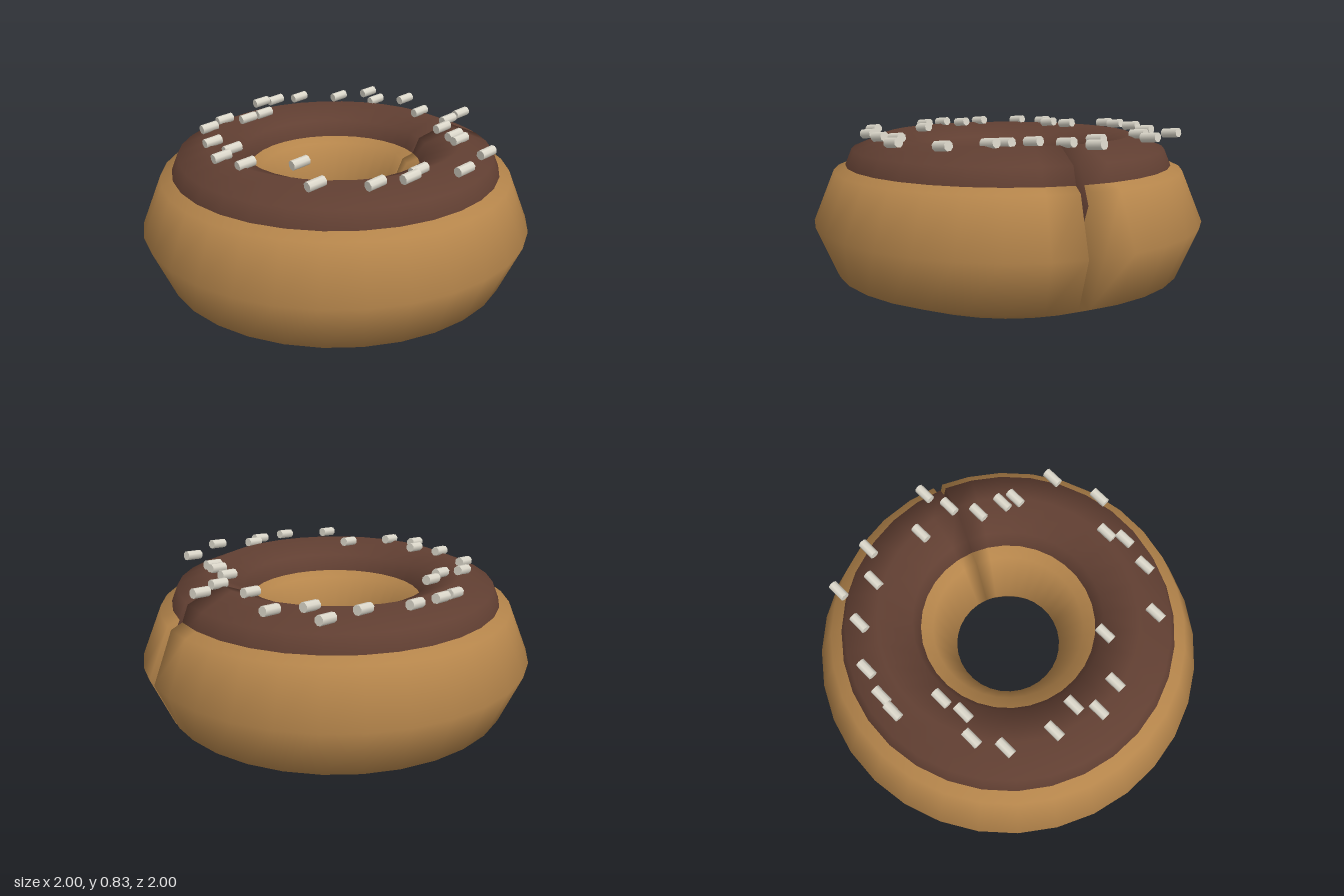
import * as THREE from 'three';

const RING = 0.637, SEGMENTS = 32, SIDES = 8;

const doughMaterial = new THREE.MeshStandardMaterial({ name: 'golden dough', color: 0xb5854b });
const icingMaterial = new THREE.MeshStandardMaterial({ name: 'chocolate icing', color: 0x613f32 });
const sprinkleMaterial = new THREE.MeshStandardMaterial({ name: 'cream sprinkles', color: 0xdcd8cb });

// Ring split at +x: its two capped ends touch on the inner half and part in a thin wedge outside
function splitRing(tube, slope) {
  const pos = [], idx = [];
  for (let i = 0; i <= SEGMENTS; i++) {
    const t = (i / SEGMENTS) * Math.PI * 2;
    const side = i === 0 ? 1 : i === SEGMENTS ? -1 : 0;
    for (let j = 0; j < SIDES; j++) {
      const p = (j / SIDES) * Math.PI * 2;
      const r = RING + tube * Math.cos(p);
      const open = side * slope * Math.max(0, r - RING);
      pos.push(r * Math.cos(t), tube * Math.sin(p), r * Math.sin(t) + open);
    }
  }
  const at = (i, j) => i * SIDES + (j % SIDES);
  for (let i = 0; i < SEGMENTS; i++) {
    for (let j = 0; j < SIDES; j++) {
      const a = at(i, j), b = at(i, j + 1), c = at(i + 1, j), d = at(i + 1, j + 1);
      idx.push(a, b, c, b, d, c);
    }
  }
  // End caps share the rim vertices, so the shading rolls into the split
  const first = pos.length / 3;
  pos.push(RING, 0, 0, RING, 0, 0);
  for (let j = 0; j < SIDES; j++) {
    idx.push(first, at(0, j + 1), at(0, j));
    idx.push(first + 1, at(SEGMENTS, j), at(SEGMENTS, j + 1));
  }
  const geometry = new THREE.BufferGeometry();
  geometry.setAttribute('position', new THREE.Float32BufferAttribute(pos, 3));
  geometry.setIndex(idx);
  geometry.computeVertexNormals();
  return geometry;
}

// Sprinkle centres on the icing: x, z
const SPRINKLES = [
  [-0.22, -0.69], [-0.13, -0.71], [0.02, -0.725], [0.25, -0.67], [0.45, -0.7],
  [0.43, -0.525], [0.6, -0.485], [0.57, -0.215], [0.77, -0.11], [0.65, -0.025],
  [0.555, 0.095], [0.555, 0.23], [0.55, 0.3], [0.575, 0.525], [0.37, 0.69],
  [0.175, 0.63], [0.105, 0.695], [-0.065, 0.715], [-0.31, 0.64], [-0.3, 0.37],
  [-0.535, 0.3], [-0.62, 0.17], [-0.55, 0.075], [-0.62, -0.06], [-0.595, -0.295],
  [-0.49, -0.415], [-0.365, -0.4], [-0.26, -0.465],
];

export function createModel() {
  const model = new THREE.Group();
  model.name = 'doughnut';

  const dough = new THREE.Mesh(splitRing(0.363, 0.1), doughMaterial);
  dough.name = 'dough';
  dough.position.y = 0.365;
  model.add(dough);

  const icing = new THREE.Mesh(splitRing(0.234, 0.095), icingMaterial);
  icing.name = 'icing';
  icing.position.y = 0.561;
  model.add(icing);

  // Small rods all lying the same way
  const rod = new THREE.CylinderGeometry(0.024, 0.024, 0.09, 8);
  const axis = new THREE.Vector3(0.93, 0.1, -0.34).normalize();
  const turn = new THREE.Quaternion().setFromUnitVectors(new THREE.Vector3(0, 1, 0), axis);
  const sprinkles = new THREE.Group();
  sprinkles.name = 'sprinkles';
  for (const [x, z] of SPRINKLES) {
    const sprinkle = new THREE.Mesh(rod, sprinkleMaterial);
    sprinkle.name = 'sprinkle';
    sprinkle.position.set(x, 0.807, z);
    sprinkle.quaternion.copy(turn);
    sprinkles.add(sprinkle);
  }
  model.add(sprinkles);
  return model;
}
